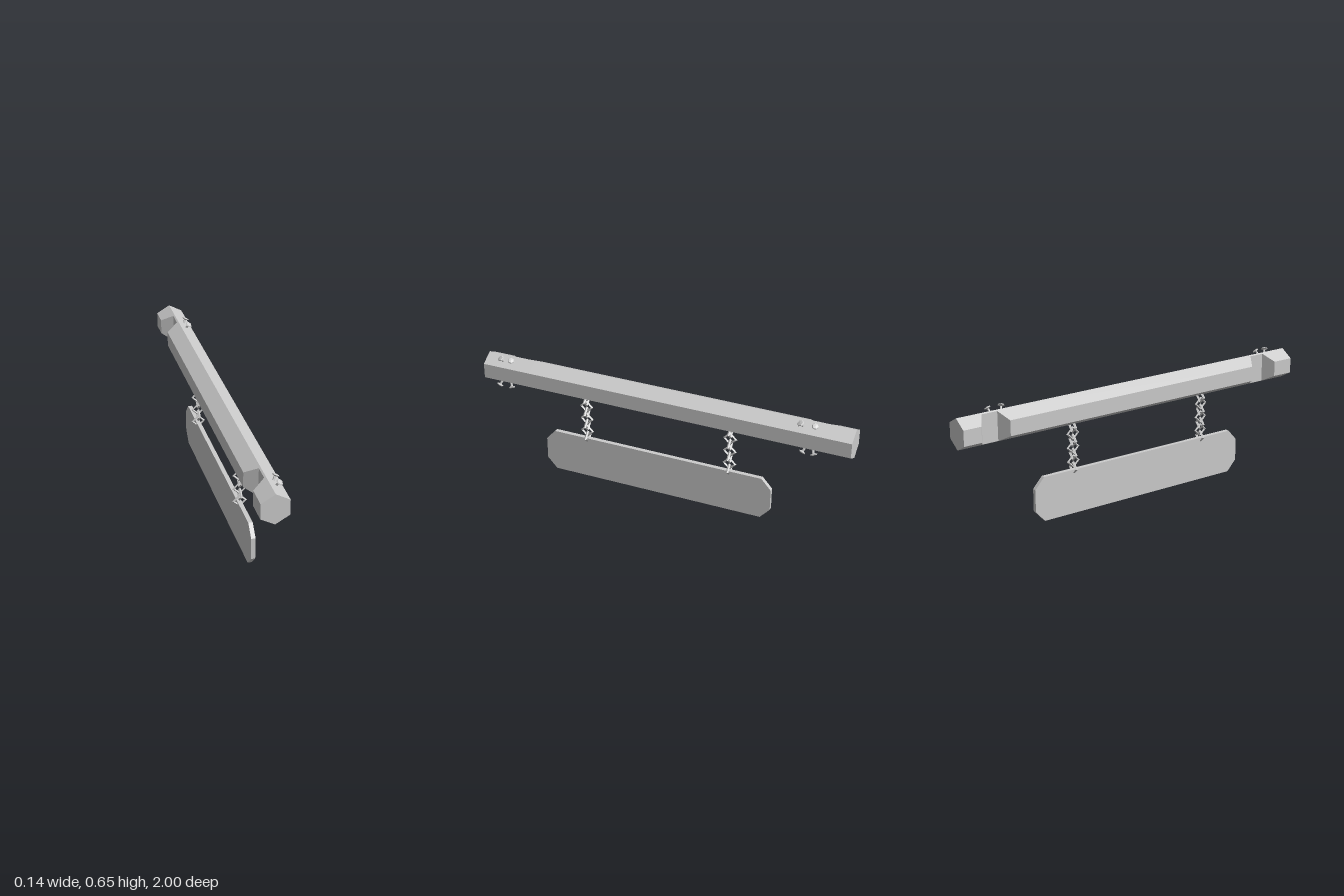
import * as THREE from 'three';

const material = new THREE.MeshStandardMaterial({ color: 0xcccccc, flatShading: true });
const BEAM_Y = 0.559, BEAM_R = 0.081, BEAM_W = BEAM_R * Math.cos(Math.PI / 6);

function part(name, geometry, parent) {
  const mesh = new THREE.Mesh(geometry, material);
  mesh.name = name;
  parent.add(mesh);
  return mesh;
}

// Hexagonal section whose -x side is cut back to a depth d
function section(d, z) {
  const side = (x) => BEAM_R - Math.abs(x) / Math.sqrt(3);
  return [[0, BEAM_R], [-d, side(d)], [-d, -side(d)], [0, -BEAM_R], [BEAM_W, -side(BEAM_W)], [BEAM_W, side(BEAM_W)]]
    .map(([x, y]) => [x, BEAM_Y + y, z]);
}

// Beam lofted along z, with two slanted notches on the -x side
function beamGeometry() {
  const cut = 0.008;
  const rings = [
    [-1, BEAM_W], [-0.905, BEAM_W], [-0.87, cut], [-0.785, cut], [-0.75, BEAM_W],
    [0.73, BEAM_W], [0.768, cut], [0.85, cut], [0.887, BEAM_W], [1, BEAM_W],
  ].map(([z, d]) => section(d, z));
  const pos = [];
  const tri = (a, b, c) => pos.push(...a, ...b, ...c);
  for (let i = 0; i < rings.length - 1; i++) {
    const a = rings[i], b = rings[i + 1];
    for (let j = 0; j < 6; j++) {
      const k = (j + 1) % 6;
      tri(a[j], a[k], b[k]);
      tri(a[j], b[k], b[j]);
    }
  }
  const back = rings[0], front = rings[rings.length - 1];
  for (let j = 1; j < 5; j++) {
    tri(back[0], back[j + 1], back[j]);
    tri(front[0], front[j], front[j + 1]);
  }
  const geometry = new THREE.BufferGeometry();
  geometry.setAttribute('position', new THREE.Float32BufferAttribute(pos, 3));
  geometry.computeVertexNormals();
  return geometry;
}

// Sign board with chamfered corners, extruded across x
function boardGeometry() {
  const z0 = -0.59, z1 = 0.68, h = 0.238, c = 0.052, v = 0.059;
  const outline = [[z0 + c, 0], [z1 - c, 0], [z1, v], [z1, h - v], [z1 - c, h], [z0 + c, h], [z0, h - v], [z0, v]];
  const shape = new THREE.Shape(outline.map(([z, y]) => new THREE.Vector2(-z, y)));
  const geometry = new THREE.ExtrudeGeometry(shape, { depth: 0.022, bevelEnabled: false });
  return geometry.translate(0, 0, -0.011).rotateY(Math.PI / 2);
}

// Chain of square links, alternating between two planes
function addChain(z, parent) {
  const chain = new THREE.Group();
  chain.name = 'chain';
  const link = new THREE.TorusGeometry(0.031, 0.007, 4, 4);
  for (let i = 0; i < 7; i++) {
    const mesh = part('chainLink', link, chain);
    mesh.position.set(0, 0.467 - i * 0.0373, z);
    mesh.rotation.y = (i % 2) * Math.PI / 2;
  }
  parent.add(chain);
}

// Bent nail standing out of a lower or upper +x face of the beam
function addNail(z, up, tilt, parent) {
  const nail = new THREE.Group();
  nail.name = 'nail';
  const profile = [[0, -0.02], [0.006, -0.02], [0.006, 0.019], [0.019, 0.024], [0.015, 0.029], [0, 0.031]]
    .map(([r, y]) => new THREE.Vector2(r, y));
  part('nailBody', new THREE.LatheGeometry(profile, 6), nail);
  nail.position.set(0.035, BEAM_Y + up * (BEAM_R - 0.035 / Math.sqrt(3)), z - tilt * 0.025);
  const axis = new THREE.Vector3(0.5, up * 0.866, tilt).normalize();
  nail.quaternion.setFromUnitVectors(new THREE.Vector3(0, 1, 0), axis);
  parent.add(nail);
}

export function createModel() {
  const model = new THREE.Group();
  model.name = 'hangingSign';

  part('beam', beamGeometry(), model);
  part('signBoard', boardGeometry(), model);
  for (const z of [0.44, -0.36]) addChain(z, model);

  // Nails: z of the head, upper or lower face, lean along z
  const nails = [
    [0.91, 1, 0.4], [0.847, 1, -0.4], [-0.732, 1, 0.4], [-0.808, 1, -0.3],
    [0.925, -1, 0.4], [0.853, -1, -0.4], [-0.75, -1, 0.4], [-0.81, -1, -0.4],
  ];
  for (const [z, up, tilt] of nails) addNail(z, up, tilt, model);
  return model;
}
